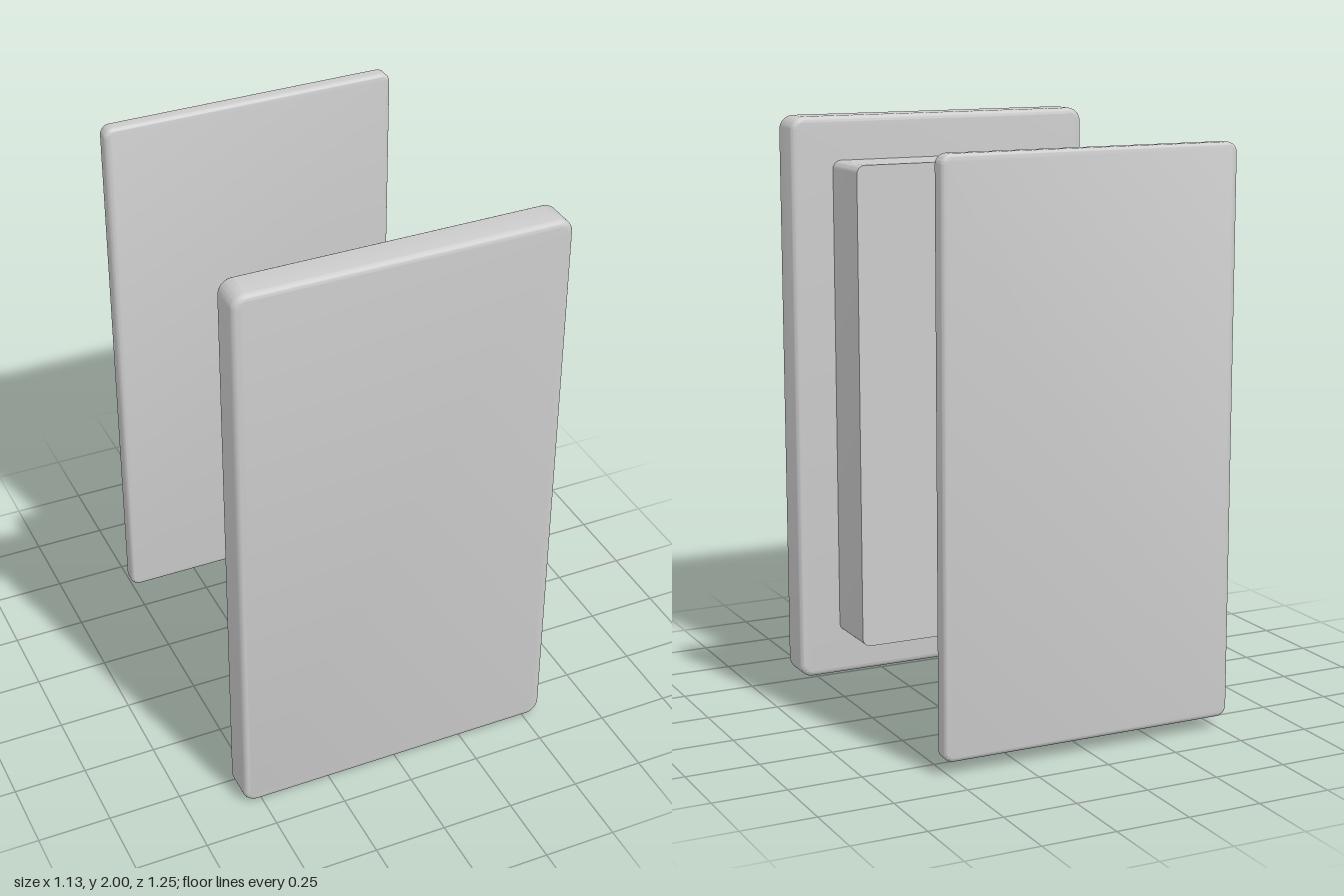
import * as THREE from 'three';
import { toCreasedNormals } from 'three/addons/utils/BufferGeometryUtils.js';

const material = new THREE.MeshStandardMaterial({ color: 0xcccccc });

// Upright slab with rounded corners (radius) and optional rounded rims (bevel)
function slab(name, { halfWidth, bottom, top, back, front, radius, bevel = 0 }) {
  const x = halfWidth - bevel, y0 = bottom + bevel, y1 = top - bevel, r = radius - bevel;
  const outline = new THREE.Shape();
  outline.absarc(x - r, y1 - r, r, 0, Math.PI / 2);
  outline.absarc(-x + r, y1 - r, r, Math.PI / 2, Math.PI);
  outline.absarc(-x + r, y0 + r, r, Math.PI, Math.PI * 1.5);
  outline.absarc(x - r, y0 + r, r, Math.PI * 1.5, Math.PI * 2);
  outline.closePath();

  const geometry = new THREE.ExtrudeGeometry(outline, {
    depth: front - back - 2 * bevel,
    bevelEnabled: bevel > 0,
    bevelSize: bevel,
    bevelThickness: bevel,
    bevelSegments: 5,
    curveSegments: 8,
  });
  geometry.translate(0, 0, back + bevel);
  const mesh = new THREE.Mesh(toCreasedNormals(geometry, Math.PI / 5), material);
  mesh.name = name;
  return mesh;
}

export function createModel() {
  const model = new THREE.Group();
  model.name = 'panelAssembly';
  model.add(
    // Thick front plate
    slab('frontPlate', { halfWidth: 0.563, bottom: 0, top: 2, back: 0.5, front: 0.627, radius: 0.05, bevel: 0.02 }),
    // Sharp-rimmed block behind the front plate
    slab('innerBlock', { halfWidth: 0.411, bottom: 0.157, top: 1.847, back: 0.287, front: 0.5, radius: 0.03 }),
    // Thin separate plate at the back
    slab('backPlate', { halfWidth: 0.521, bottom: 0.045, top: 1.96, back: -0.627, front: -0.567, radius: 0.035, bevel: 0.016 }),
  );
  return model;
}
